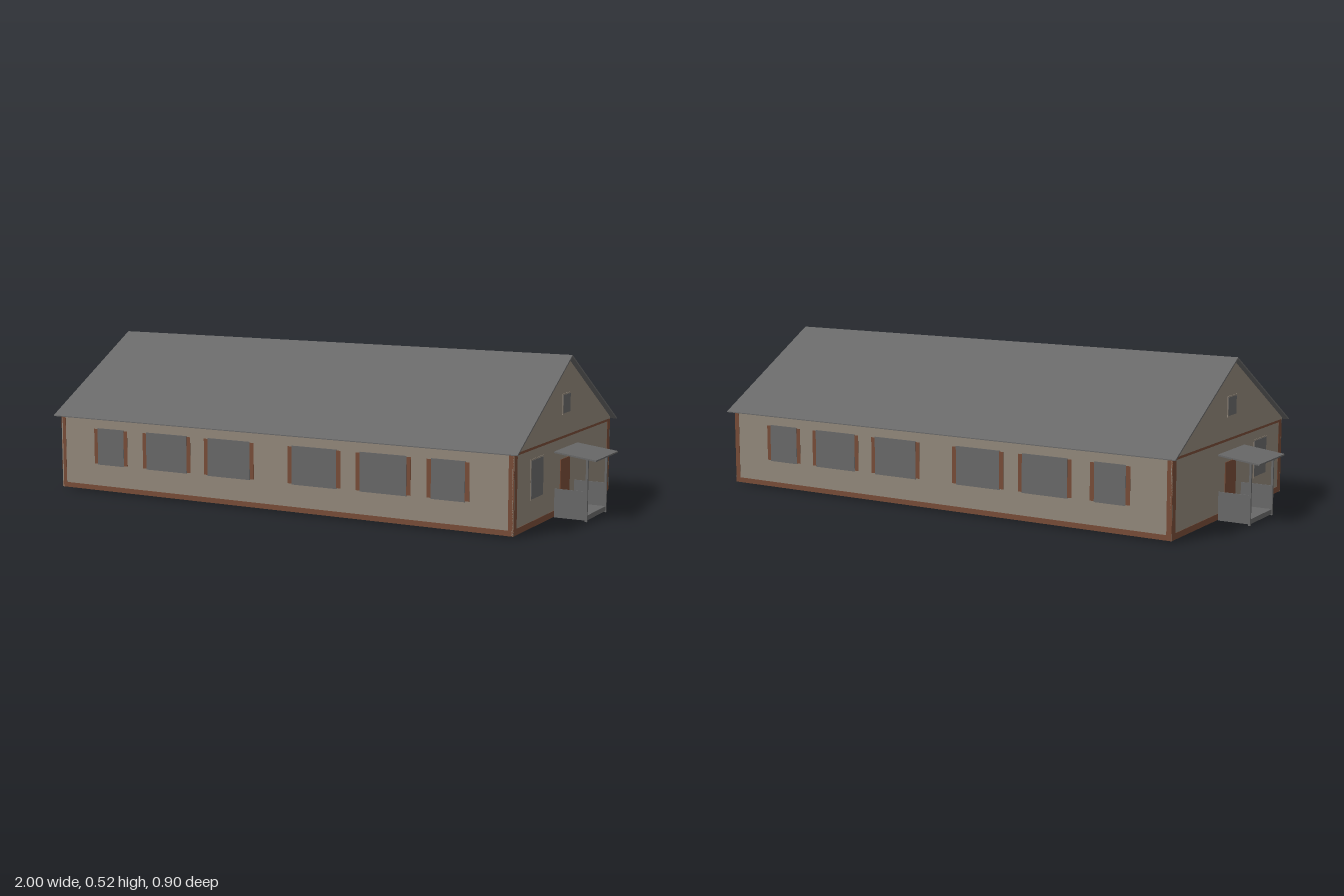
import * as THREE from 'three';

const paint = (name, color, side = THREE.FrontSide) => {
  const m = new THREE.MeshStandardMaterial({ color, side });
  m.name = name;
  return m;
};

export function createModel() {
  const plaster = paint('plaster', 0x91877a);
  const brick = paint('brick', 0x774c37);
  const slate = paint('slate', 0x686868);

  const house = new THREE.Group();
  house.name = 'house';

  // box given by its limits on each axis
  const block = (parent, name, mat, [x0, x1], [y0, y1], [z0, z1]) => {
    const mesh = new THREE.Mesh(new THREE.BoxGeometry(x1 - x0, y1 - y0, z1 - z0), mat);
    mesh.position.set((x0 + x1) / 2, (y0 + y1) / 2, (z0 + z1) / 2);
    mesh.name = name;
    parent.add(mesh);
    return mesh;
  };
  // flat profile pulled along x, points given as [z, y]
  const alongX = (name, mat, points, x0, x1) => {
    const shape = new THREE.Shape(points.map(([z, y]) => new THREE.Vector2(-z, y)));
    const geo = new THREE.ExtrudeGeometry(shape, { depth: x1 - x0, bevelEnabled: false });
    geo.rotateY(Math.PI / 2).translate(x0, 0, 0);
    const mesh = new THREE.Mesh(geo, mat);
    mesh.name = name;
    house.add(mesh);
  };

  const X = 0.857, Z = 0.43, BASE = 0.006, EAVE = 0.26;
  // plates reach slightly through the thin walls, so they show inside and out
  const around = (c, half) => [c - half, c + half];

  // attic block, whose underside is the ceiling
  alongX('attic', plaster, [[-Z, EAVE], [Z, EAVE], [Z, 0.266], [0, 0.515], [-Z, 0.266]], -X, X);

  // two thin roof slopes meeting at the ridge
  alongX('roof', slate, [[-0.45, 0.258], [-0.445, 0.258], [0, 0.515], [0.445, 0.258],
    [0.45, 0.258], [0.45, 0.261], [0, 0.521], [-0.45, 0.261]], -0.875, 0.875);

  // long walls with six windows each
  const windows = [[-0.70, -0.59], [-0.495, -0.33], [-0.245, -0.08],
    [0.08, 0.245], [0.33, 0.495], [0.58, 0.695]];
  for (const s of [-1, 1]) {
    const side = new THREE.Group();
    side.name = s > 0 ? 'frontWall' : 'backWall';
    house.add(side);
    const c = s * (Z - 0.003);
    block(side, 'wall', plaster, [-X, X], [BASE, EAVE], around(c, 0.002));
    block(side, 'plinth', brick, [-X, X], [BASE, 0.023], around(c, 0.003));
    for (const e of [-1, 1]) {
      block(side, 'cornerTrim', brick, around(e * (X - 0.009), 0.009), [BASE, EAVE], around(c, 0.003));
    }
    for (const [a, b] of windows) {
      block(side, 'windowPane', slate, [a, b], [0.097, 0.225], around(c, 0.004));
      for (const [p, q] of [[a - 0.015, a], [b, b + 0.015]]) {
        block(side, 'windowTrim', brick, [p, q], [0.1, 0.222], around(c, 0.003));
      }
    }
  }

  // end walls, each with a window, a door and a porch
  for (const s of [-1, 1]) {
    const end = new THREE.Group();
    end.name = s > 0 ? 'leftEnd' : 'rightEnd';
    house.add(end);
    const c = s * (X - 0.003);
    const out = (a, b) => (s > 0 ? [a, b] : [-b, -a]);
    block(end, 'wall', plaster, around(c, 0.002), [BASE, EAVE], [-Z, Z]);
    block(end, 'plinth', brick, around(c, 0.003), [BASE, 0.026], [-Z, Z]);
    block(end, 'topBand', brick, around(c, 0.003), [0.252, EAVE], [-Z, Z]);
    for (const e of [-1, 1]) {
      block(end, 'cornerTrim', brick, around(c, 0.003), [BASE, EAVE], around(e * (Z - 0.013), 0.013));
    }
    block(end, 'windowFrame', plaster, around(c, 0.0035), [0.093, 0.223], [0.19, 0.297]);
    block(end, 'windowPane', slate, around(c, 0.0045), [0.097, 0.219], [0.194, 0.293]);
    block(end, 'atticWindowFrame', plaster, out(X, X + 0.002), [0.33, 0.398], [-0.035, 0.035]);
    block(end, 'atticWindowPane', slate, out(X, X + 0.003), [0.334, 0.394], [-0.031, 0.031]);
    block(end, 'door', brick, around(c, 0.0045), [0.022, 0.185], [-0.042, 0.042]);
    block(end, 'doorPanel', slate, around(c, 0.005), [0.024, 0.06], [-0.04, 0.04]);

    // porch floor, posts, side panels and sloping roof
    const porch = new THREE.Group();
    porch.name = 'porch';
    end.add(porch);
    block(porch, 'porchFloor', slate, out(X, 0.967), [0.004, 0.02], [-0.09, 0.09]);
    for (const e of [-1, 1]) {
      block(porch, 'post', slate, out(0.962, 0.969), [0, 0.202], around(e * 0.09, 0.0035));
      block(porch, 'sidePanel', slate, out(X, 0.963), [0.01, 0.098], around(e * 0.09, 0.0015));
    }
    const canopy = block(porch, 'porchRoof', slate, around(s * 0.929, 0.071), [0.207, 0.212], [-0.105, 0.105]);
    canopy.rotation.z = -s * 0.125;
  }
  return house;
}
